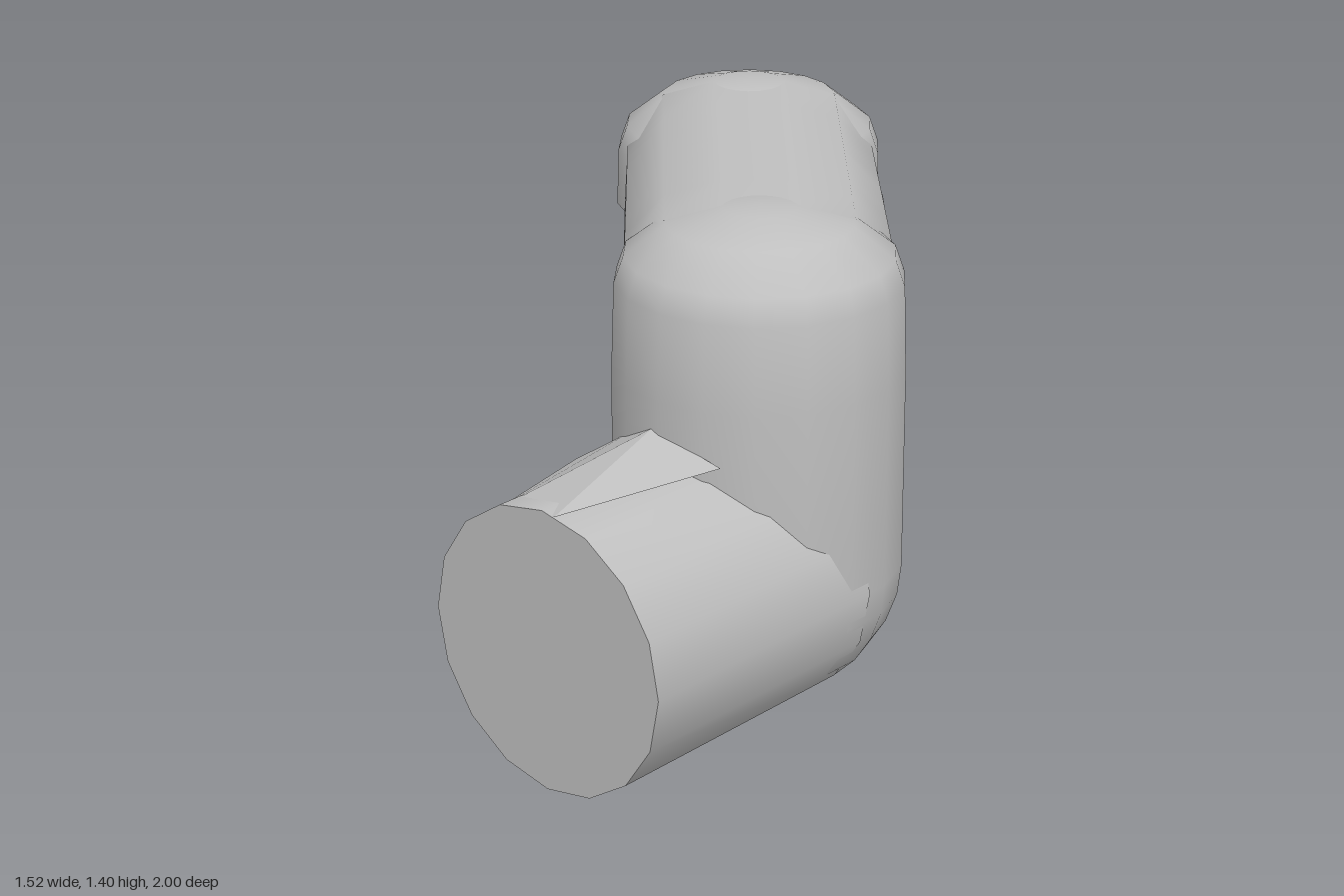
import * as THREE from 'three';
import { toCreasedNormals } from 'three/addons/utils/BufferGeometryUtils.js';
import { ConvexGeometry } from 'three/addons/geometries/ConvexGeometry.js';

const R = 0.395;                       // pipe radius
const riserAt = [0.367, 0.185], endAt = [-0.375, -0.607]; // x, z of the two upright axes

export function createModel() {
  const group = new THREE.Group();
  const grey = new THREE.MeshStandardMaterial({ color: 0xbfbfbf });
  grey.name = 'grey';

  const add = (name, geometry, crease = 0.75) => {
    const mesh = new THREE.Mesh(toCreasedNormals(geometry, crease), grey);
    mesh.name = name;
    group.add(mesh);
    return mesh;
  };
  const lathe = (name, points, [x, z]) => {
    const profile = points.map(([r, y]) => new THREE.Vector2(r, y));
    add(name, new THREE.LatheGeometry(profile, 18)).position.set(x, 0, z);
  };

  // Flattened dome shared by the two upright parts
  const dome = [[0.385, 1.19], [0.36, 1.26], [0.25, 1.345], [0.1, 1.385], [0, 1.39]];

  // Upright pipe with a rounded heel below
  const heel = [];
  for (let i = 0; i <= 7; i++) {
    const a = (i / 7) * Math.PI / 2;
    heel.push([R * Math.sin(a), R - R * Math.cos(a)]);
  }
  lathe('riser', [...heel, [0.393, 0.95], ...dome], riserAt);

  // Downturned end with a flat mouth
  lathe('downturnedEnd', [[0, 1.04], [0.39, 1.04], ...dome.map(([r, y]) => [r, y + 0.015])], endAt);

  // Front pipe
  const pipe = new THREE.CylinderGeometry(R, R, 1 - riserAt[1], 16, 1);
  pipe.rotateX(Math.PI / 2);
  add('frontPipe', pipe).position.set(riserAt[0], R, (1 + riserAt[1]) / 2);

  // Low ridge where the front pipe meets the riser
  const ridge = [
    [0.2, 0.74, 1], [0.41, 0.785, 1], [0.34, 0.87, 0.57], [0.56, 0.815, 0.55], [0.09, 0.72, 0.6],
    [0.34, 0.7, 0.4], [0.2, 0.8, 0.5],
  ].map((p) => new THREE.Vector3(...p));
  add('jointRidge', new ConvexGeometry(ridge), 0.3);

  // Diagonal arm: sections with arched lower edges, lofted between the uprights
  // Each station: distance, underside height, left edge height, right edge height
  const stations = [
    [0.0, 0.9, 0.9, 0.9], [0.2, 0.95, 0.9, 1.0], [0.31, 1.03, 1.11, 1.1], [0.42, 1.045, 1.14, 1.16],
    [0.56, 1.045, 1.16, 1.22], [0.7, 1.045, 1.17, 1.18], [0.86, 1.045, 1.07, 1.08], [1.08, 1.045, 1.06, 1.06],
  ];
  const dx = endAt[0] - riserAt[0], dz = endAt[1] - riserAt[1];
  const length = Math.hypot(dx, dz);
  const d = [dx / length, dz / length], n = [-d[1], d[0]];
  const position = [], index = [];
  let count = 0;
  stations.forEach(([s, under, front, back], i) => {
    const top = 1.39 + 0.015 * s / length;
    const ring = [
      [0, under], [0.2, under + 0.01], [0.36, back], [0.355, 1.235], [0.25, top - 0.045], [0.1, top - 0.005],
      [-0.1, top - 0.005], [-0.25, top - 0.045], [-0.355, 1.235], [-0.36, front], [-0.2, under + 0.01],
    ];
    count = ring.length;
    ring.forEach(([u, y], j) => {
      position.push(riserAt[0] + d[0] * s + n[0] * u, y, riserAt[1] + d[1] * s + n[1] * u);
      if (i === stations.length - 1) return;
      const a = i * count + j, b = i * count + (j + 1) % count;
      index.push(a, a + count, b, b, a + count, b + count);
    });
  });
  const arm = new THREE.BufferGeometry();
  arm.setAttribute('position', new THREE.Float32BufferAttribute(position, 3));
  arm.setIndex(index);
  add('diagonalArm', arm);

  return group;
}
